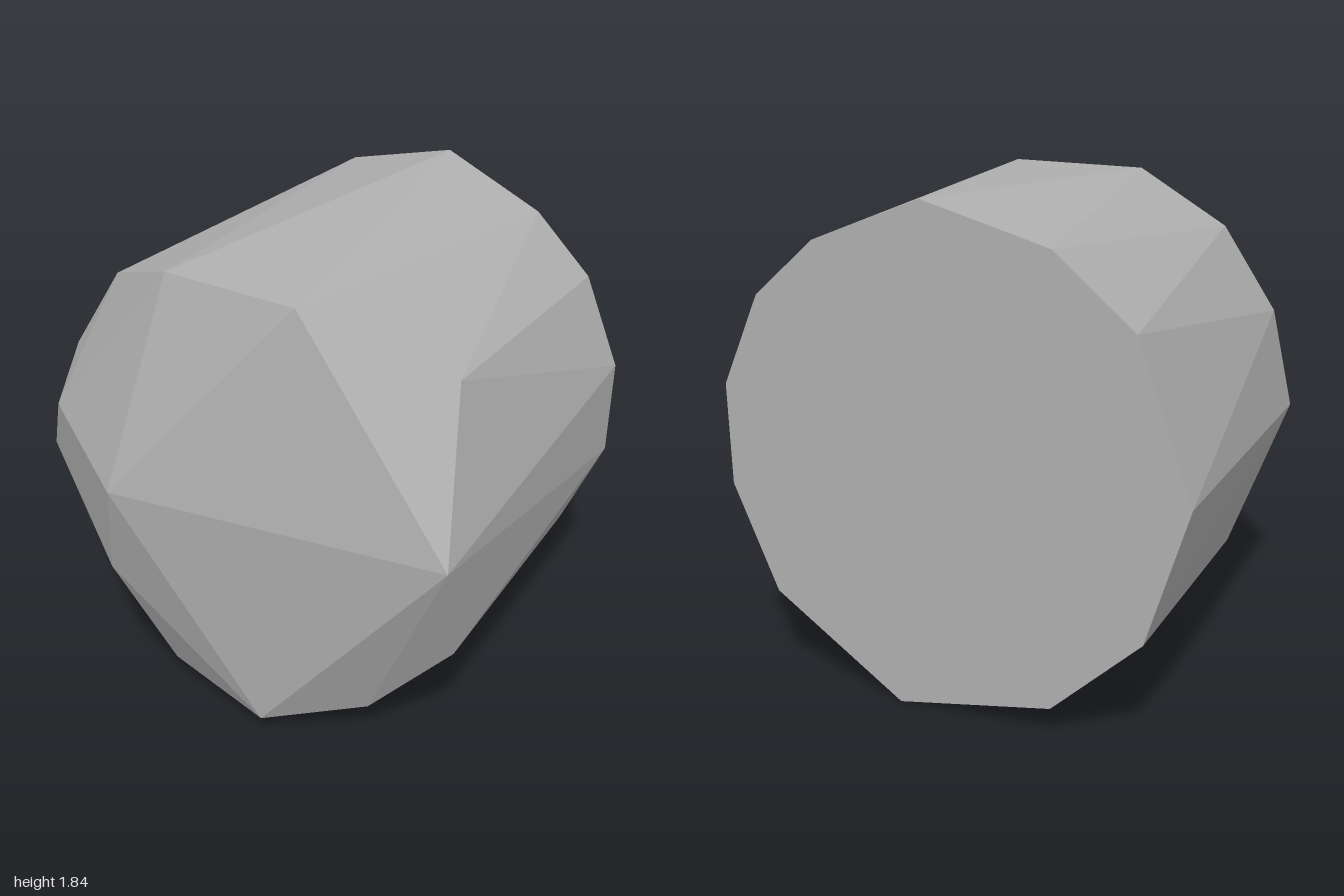
import * as THREE from 'three';
import { ConvexGeometry } from 'three/addons/geometries/ConvexGeometry.js';

export function createModel() {
  const group = new THREE.Group();
  group.name = 'facetedRock';

  const stone = new THREE.MeshStandardMaterial({ color: 0xb0b0b0 });
  stone.name = 'grey stone';

  // flat twelve-sided back face, as x, y
  const backZ = -0.9;
  const back = [
    [-0.02, 1.84], [0.41, 1.67], [0.655, 1.455], [0.81, 1.11], [0.8, 0.73], [0.62, 0.335],
    [0.1, 0], [-0.5, 0.11], [-0.84, 0.42], [-1, 0.92], [-0.8, 1.47], [-0.5, 1.715],
  ];

  // uneven rim where the sides meet the front
  const rim = [
    [-0.16, 1.76, 0.65], [0.4, 1.765, 0.63], [0.82, 1.49, 0.265], [1, 0.945, 0.575],
    [0.885, 0.435, 0.33], [0.6, 0.14, 0.46], [0.26, 0.055, 0.68], [-0.23, 0.085, 0.615],
    [-0.66, 0.285, 0.44], [-0.85, 0.85, 0.605], [-0.8, 1.26, 0.49], [-0.6, 1.585, 0.45],
  ];

  // blunt front peaks
  const peaks = [[-0.26, 0.96, 0.9], [-0.71, 1.1, 0.7], [-0.38, 0.54, 0.79]];

  const corners = [...back.map(([x, y]) => [x, y, backZ]), ...rim, ...peaks]
    .map((p) => new THREE.Vector3(...p));

  // cut stone body: flat facets stretched over the corners
  const rock = new THREE.Mesh(new ConvexGeometry(corners), stone);
  rock.name = 'rock';
  group.add(rock);
  return group;
}
